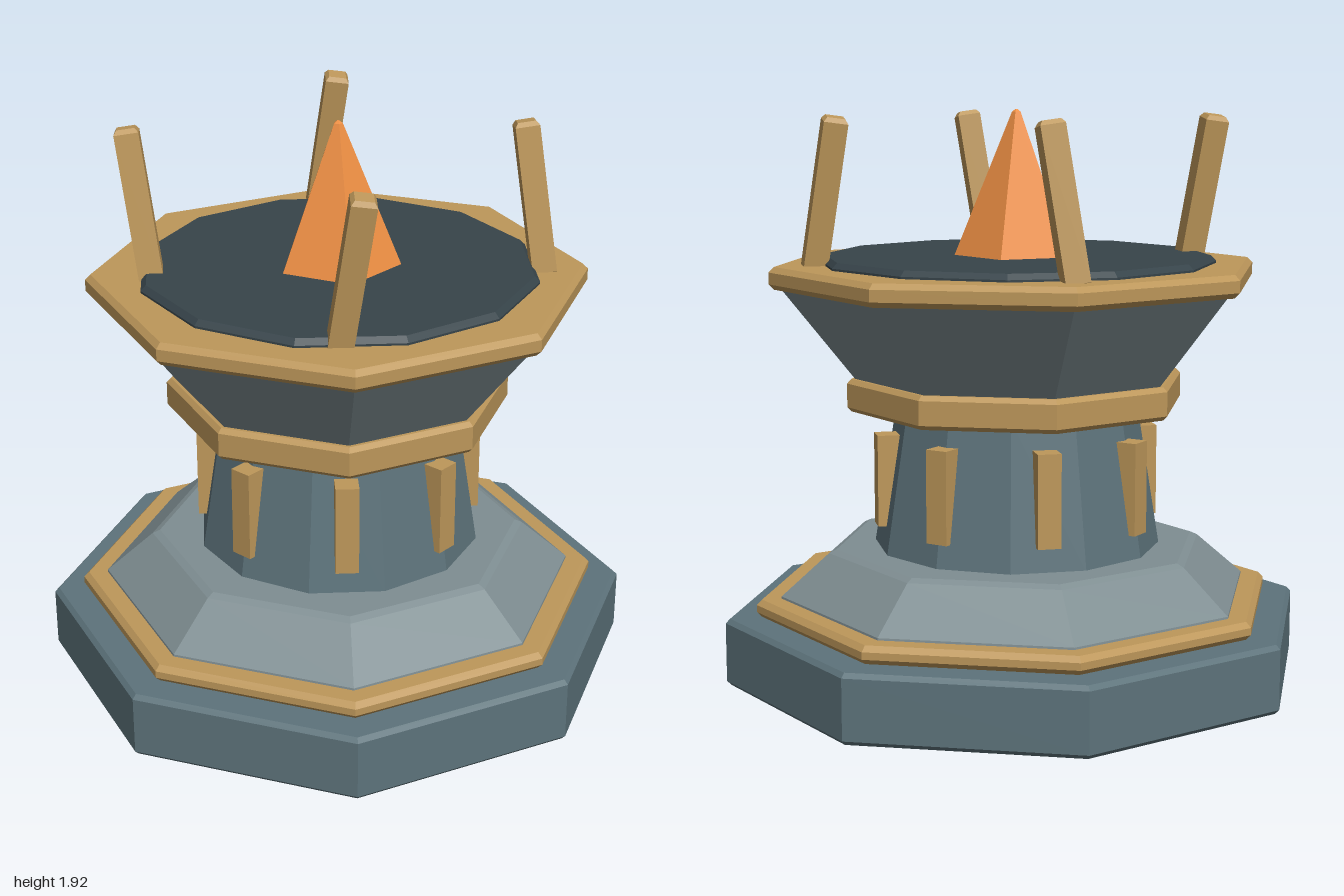
import * as THREE from 'three';

const paint = (color) => new THREE.MeshStandardMaterial({ color, flatShading: true });
const slate = paint(0x5d737b);
const stone = paint(0x7f8e92);
const dark = paint(0x37444a);
const gold = paint(0xbd975a);
const flameOrange = paint(0xef9044);

// Closed, faceted prism or frustum with chamfered top and bottom edges
function tier(name, material, sides, y0, r0, y1, r1, bevel) {
  const slope = (r1 - r0) / (y1 - y0);
  const profile = [
    [0, y0],
    [r0 - bevel, y0],
    [r0 + slope * bevel, y0 + bevel],
    [r1 - slope * bevel, y1 - bevel],
    [r1 - bevel, y1],
    [0, y1],
  ].map(([r, y]) => new THREE.Vector2(r, y));
  const mesh = new THREE.Mesh(new THREE.LatheGeometry(profile, sides), material);
  mesh.name = name;
  return mesh;
}

export function createModel() {
  const model = new THREE.Group();
  model.name = 'brazierTower';

  // Stacked body, from the ground up
  model.add(
    tier('base', slate, 8, 0, 1, 0.23, 1, 0.015),
    tier('baseTrim', gold, 8, 0.23, 0.895, 0.29, 0.895, 0.018),
    tier('foot', stone, 8, 0.285, 0.825, 0.45, 0.635, 0.012),
    tier('column', slate, 12, 0.44, 0.488, 0.94, 0.408, 0.005),
    tier('collar', gold, 8, 0.92, 0.58, 1.03, 0.58, 0.015),
    tier('bowl', stone, 8, 1.02, 0.545, 1.35, 0.805, 0.01),
    tier('rim', gold, 8, 1.335, 0.835, 1.41, 0.835, 0.018),
    tier('deck', dark, 12, 1.38, 0.67, 1.435, 0.67, 0.018),
  );

  // Five-sided flame with a blunted tip
  const flame = tier('flame', flameOrange, 5, 1.42, 0.215, 1.92, 0.012, 0.008);
  flame.rotation.y = Math.PI;
  model.add(flame);

  // Upright strips around the column
  const strips = new THREE.Group();
  strips.name = 'columnStrips';
  for (let i = 0; i < 8; i++) {
    const a = (i * Math.PI) / 4;
    const strip = new THREE.Mesh(new THREE.BoxGeometry(0.078, 0.31, 0.08), gold);
    strip.name = 'columnStrip';
    strip.position.set(Math.sin(a) * 0.445, 0.685, Math.cos(a) * 0.445);
    strip.rotation.y = a;
    strips.add(strip);
  }
  model.add(strips);

  // Leaning posts: left pair tips inward, right pair tips outward
  for (const sx of [-1, 1]) {
    for (const sz of [-1, 1]) {
      const post = tier('post', gold, 4, -0.26, 0.057, 0.26, 0.057, 0.015);
      post.position.set(sx * 0.457, 1.643, sz * 0.457);
      post.rotation.x = -sx * sz * 0.19;
      model.add(post);
    }
  }
  return model;
}
